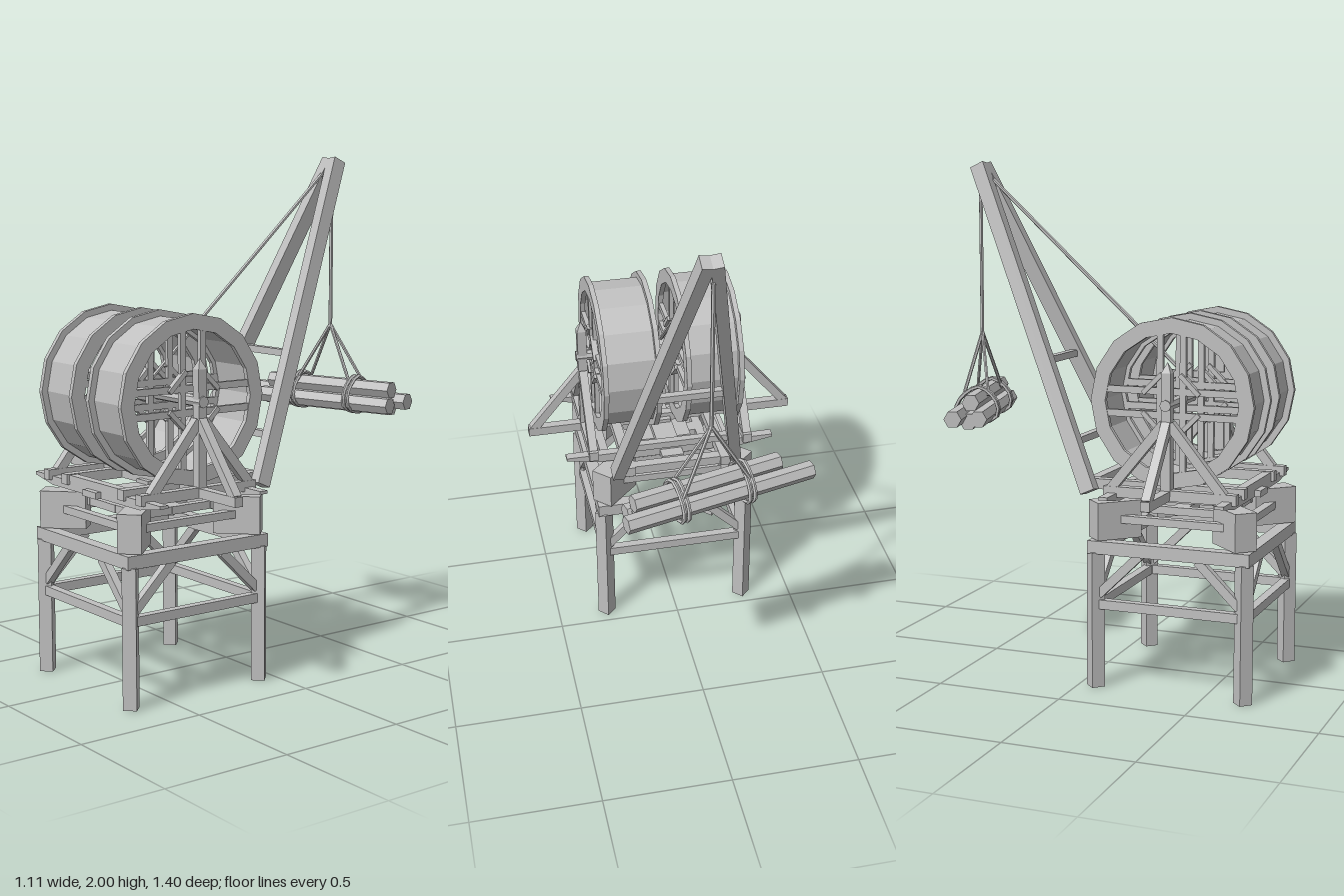
import * as THREE from 'three';

const timber = new THREE.MeshStandardMaterial({ color: 0xc0c0c0 });
timber.name = 'grey timber';
timber.flatShading = true;
const V = (x, y, z) => new THREE.Vector3(x, y, z);
const CZ = 0.362; // z of the tower centre and wheel axle

function add(parent, name, geometry) {
  const mesh = new THREE.Mesh(geometry, timber);
  mesh.name = name;
  parent.add(mesh);
  return mesh;
}

function group(parent, name) {
  const g = new THREE.Group();
  g.name = name;
  parent.add(g);
  return g;
}

function box(parent, name, w, h, d, x, y, z) {
  const mesh = add(parent, name, new THREE.BoxGeometry(w, h, d));
  mesh.position.set(x, y, z);
  return mesh;
}

// Square timber from a to b; h is measured along the up direction
function beam(parent, name, a, b, w, h, up = V(0, 1, 0)) {
  const dir = b.clone().sub(a);
  const mesh = add(parent, name, new THREE.BoxGeometry(w, h, dir.length()));
  dir.normalize();
  const side = up.clone().cross(dir).normalize();
  mesh.quaternion.setFromRotationMatrix(
    new THREE.Matrix4().makeBasis(side, dir.clone().cross(side), dir));
  mesh.position.copy(a).add(b).multiplyScalar(0.5);
  return mesh;
}

// Round bar from a to b
function rod(parent, name, a, b, r, sides = 6) {
  const dir = b.clone().sub(a);
  const mesh = add(parent, name, new THREE.CylinderGeometry(r, r, dir.length(), sides));
  mesh.quaternion.setFromUnitVectors(V(0, 1, 0), dir.normalize());
  mesh.position.copy(a).add(b).multiplyScalar(0.5);
  return mesh;
}

function buildTower(root) {
  const tower = group(root, 'tower');
  tower.position.z = CZ;
  const L = 0.295;
  for (const sx of [-1, 1]) for (const sz of [-1, 1]) {
    box(tower, 'leg', 0.052, 0.53, 0.052, sx * L, 0.265, sz * L).rotation.y = Math.PI / 4;
    // Corner blocks point at the tower centre
    box(tower, 'cornerBlock', 0.09, 0.145, 0.18, sx * 0.238, 0.652, sz * 0.238)
      .rotation.y = sx * sz * Math.PI / 4;
  }
  // One wall repeated on four sides
  for (let i = 0; i < 4; i++) {
    const wall = group(tower, 'towerSide');
    wall.rotation.y = i * Math.PI / 2;
    box(wall, 'topRail', 0.64, 0.05, 0.05, 0, 0.55, L);
    box(wall, 'lowerRail', 0.56, 0.036, 0.034, 0, 0.327, L);
    box(wall, 'upperRail', 0.54, 0.03, 0.035, 0, 0.655, 0.25);
    box(wall, 'bearingRail', 0.37, 0.03, 0.035, 0, 0.685, 0.165);
    for (const s of [-1, 1])
      beam(wall, 'kneeBrace', V(s * 0.28, 0.365, L), V(s * 0.115, 0.528, L), 0.03, 0.034);
  }
  box(tower, 'crossBeam', 0.37, 0.03, 0.06, 0, 0.685, 0);
  box(tower, 'crossBeam', 0.06, 0.03, 0.37, 0, 0.685, 0);
  box(tower, 'pivotBlock', 0.22, 0.035, 0.22, 0, 0.718, 0);
  box(tower, 'pivotPost', 0.08, 0.08, 0.08, 0, 0.735, 0);
}

function buildPlatform(root) {
  const deck = group(root, 'turningPlatform');
  // Cross arms with undercut ends
  const arm = new THREE.Shape([[-0.43, 0.77], [-0.43, 0.758], [-0.3, 0.735], [0.3, 0.735],
    [0.43, 0.758], [0.43, 0.77]].map(p => new THREE.Vector2(...p)));
  for (const z of [0.15, 0.6])
    add(deck, 'crossArm', new THREE.ExtrudeGeometry(arm, { depth: 0.036, bevelEnabled: false }))
      .position.z = z - 0.018;
  box(deck, 'outriggerBeam', 1.11, 0.036, 0.036, 0, 0.774, CZ);
  box(deck, 'jibFootBeam', 0.4, 0.036, 0.04, 0, 0.774, 0.01);
  box(deck, 'frontBeam', 0.4, 0.036, 0.036, 0, 0.774, 0.6);
  box(deck, 'middlePlank', 0.09, 0.025, 0.56, 0, 0.748, CZ);
  for (const s of [-1, 1]) {
    box(deck, 'innerSill', 0.04, 0.04, 0.65, s * 0.195, 0.775, 0.305);
    box(deck, 'outerSill', 0.037, 0.04, 0.52, s * 0.32, 0.775, 0.375);
    // Axle post with a pointed head
    box(deck, 'axlePost', 0.037, 0.44, 0.037, s * 0.32, 1.01, CZ);
    const tip = add(deck, 'postTip', new THREE.ConeGeometry(0.0262, 0.04, 4));
    tip.position.set(s * 0.32, 1.25, CZ);
    tip.rotation.y = Math.PI / 4;
    beam(deck, 'sideBrace', V(s * 0.535, 0.785, CZ), V(s * 0.325, 1.04, CZ), 0.034, 0.034);
    for (const t of [-1, 1])
      beam(deck, 'lengthBrace', V(s * 0.32, 0.785, CZ + t * 0.22), V(s * 0.32, 1.04, CZ + t * 0.012), 0.034, 0.036);
  }
}

function ring(outer, inner, depth) {
  const loop = r => Array.from({ length: 16 }, (_, i) =>
    new THREE.Vector2(r * Math.cos(i * Math.PI / 8), r * Math.sin(i * Math.PI / 8)));
  const shape = new THREE.Shape(loop(outer));
  shape.holes.push(new THREE.Path(loop(inner)));
  return new THREE.ExtrudeGeometry(shape, { depth, bevelEnabled: false }).translate(0, 0, -depth / 2);
}

function buildWheels(root) {
  const wheels = group(root, 'treadWheels');
  wheels.position.set(0, 1.11, CZ);
  rod(wheels, 'axle', V(-0.345, 0, 0), V(0.345, 0, 0), 0.022, 8);
  rod(wheels, 'ropeDrum', V(-0.05, 0, 0), V(0.05, 0, 0), 0.04, 8);
  for (const s of [-1, 1]) {
    // Each wheel is built around its own z axis and turned onto the axle
    const wheel = group(wheels, 'treadWheel');
    wheel.position.x = s * 0.166;
    wheel.rotation.y = Math.PI / 2;
    add(wheel, 'treadDrum', ring(0.295, 0.278, 0.21));
    for (const e of [-1, 1]) {
      add(wheel, 'rim', ring(0.32, 0.262, 0.02)).position.z = e * 0.107;
      for (const o of [-0.045, 0.045]) {
        box(wheel, 'levelSpoke', 0.54, 0.026, 0.018, 0, o, e * 0.105);
        box(wheel, 'uprightSpoke', 0.024, 0.54, 0.018, o, 0, e * 0.105);
      }
      for (let i = 0; i < 4; i++) {
        const a = Math.PI / 4 + i * Math.PI / 2;
        const strut = box(wheel, 'hubStrut', 0.018, 0.105, 0.024, 0.103 * Math.cos(a), 0.103 * Math.sin(a), e * 0.112);
        strut.rotation.z = a;
      }
    }
  }
}

function buildJib(root) {
  const jib = group(root, 'jib');
  const at = (t, s) => V(s * THREE.MathUtils.lerp(0.243, 0.016, t),
    THREE.MathUtils.lerp(0.748, 1.985, t), THREE.MathUtils.lerp(0.02, -0.547, t));
  for (const s of [-1, 1])
    beam(jib, 'jibBeam', at(0, s), at(1, s), 0.06, 0.046, V(1, 0, 0));
  for (const t of [0.147, 0.393])
    beam(jib, 'jibRung', at(t, -1), at(t, 1), 0.03, 0.027);
  rod(jib, 'pulley', V(-0.04, 1.91, -0.515), V(0.04, 1.91, -0.515), 0.015, 8);
  rod(jib, 'hoistRope', V(-0.008, 1.13, 0.385), V(-0.008, 1.93, -0.49), 0.008);
  rod(jib, 'ropeBend', V(-0.008, 1.93, -0.49), V(-0.008, 1.89, -0.545), 0.008);
  rod(jib, 'hangingRope', V(-0.008, 1.9, -0.545), V(-0.008, 1.31, -0.545), 0.008);
}

function buildLoad(root) {
  // Log bundle, slightly turned about the rope
  const load = group(root, 'logLoad');
  load.position.set(-0.008, 0, -0.545);
  load.rotation.y = 0.252;
  const logs = [[0.765, 1.022, -0.035, -0.025], [0.64, 1.01, 0.045, 0.005],
    [0.6, 1.07, 0.01, 0.01], [0.62, 1.0, 0.005, 0]];
  for (const [length, y, z, x] of logs)
    rod(load, 'log', V(x - length / 2, y, z), V(x + length / 2, y, z), 0.035, 6);
  for (const s of [-1, 1]) {
    for (const o of [-0.008, 0.012]) {
      const loop = new THREE.CatmullRomCurve3([[1.115, 0.01], [1.06, 0.08], [1.0, 0.085],
        [0.968, 0.01], [0.99, -0.075], [1.05, -0.075]].map(([y, z]) => V(s * 0.135 + o, y, z)), true);
      add(load, 'slingLoop', new THREE.TubeGeometry(loop, 16, 0.008, 5, true));
    }
    for (const t of [-1, 1])
      rod(load, 'slingRope', V(0, 1.32, 0), V(s * 0.135, 1.08, t * 0.05), 0.007);
  }
}

export function createModel() {
  const root = new THREE.Group();
  root.name = 'treadwheelCrane';
  buildTower(root);
  buildPlatform(root);
  buildWheels(root);
  buildJib(root);
  buildLoad(root);
  return root;
}
